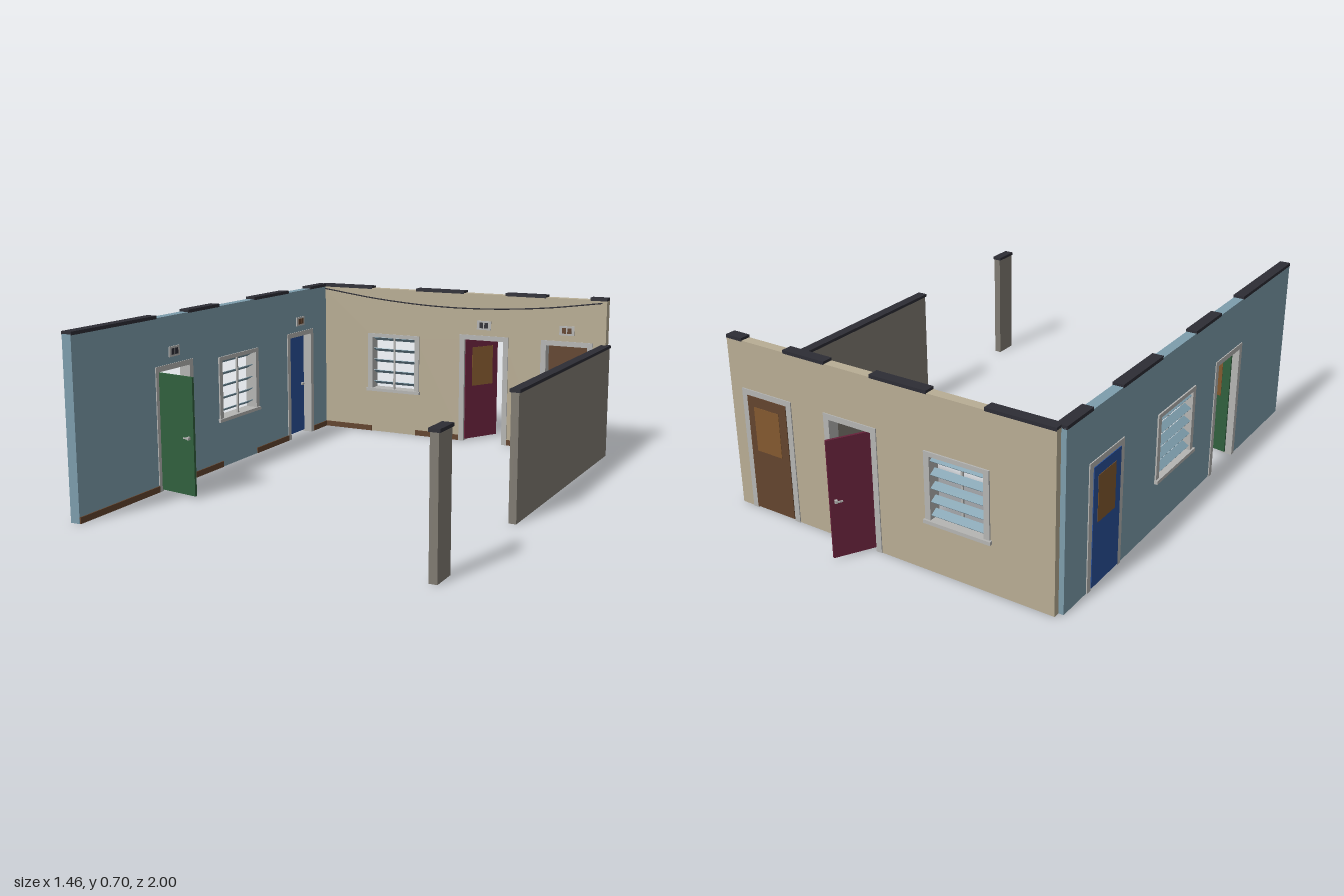
import * as THREE from 'three';

const mat = (name, color) => {
  const m = new THREE.MeshStandardMaterial({ color });
  m.name = name;
  return m;
};
const M = {
  tan: mat('tan plaster', 0xb8ad94),
  blue: mat('pale blue plaster', 0x7d9dac),
  grey: mat('warm grey', 0x807b72),
  dark: mat('charcoal', 0x2d2d35),
  trim: mat('light grey trim', 0xb5b5b3),
  green: mat('green paint', 0x305f3d),
  brown: mat('brown wood', 0x63442e),
  maroon: mat('maroon paint', 0x66213a),
  royal: mat('royal blue paint', 0x29509a),
  amber: mat('amber panel', 0x83592f),
};

// Box given by its min and max corners
function box(parent, name, material, x0, x1, y0, y1, z0, z1) {
  const mesh = new THREE.Mesh(new THREE.BoxGeometry(x1 - x0, y1 - y0, z1 - z0), material);
  mesh.position.set((x0 + x1) / 2, (y0 + y1) / 2, (z0 + z1) / 2);
  mesh.name = name;
  parent.add(mesh);
  return mesh;
}

function group(parent, name) {
  const g = new THREE.Group();
  g.name = name;
  parent.add(g);
  return g;
}

const T = 0.02;        // half wall thickness
const WALL_H = 0.687;
const DOOR_H = 0.48;
const WIN = [0.21, 0.46];

// Wall panel in its own frame: x along the wall, +z inside
function wallBody(parent, x0, x1, doors, window, material) {
  const s = new THREE.Shape();
  s.moveTo(x0, 0);
  for (const d of doors) {
    s.lineTo(d.a, 0);
    s.lineTo(d.a, DOOR_H);
    s.lineTo(d.b, DOOR_H);
    s.lineTo(d.b, 0);
  }
  s.lineTo(x1, 0);
  s.lineTo(x1, WALL_H);
  s.lineTo(x0, WALL_H);
  s.closePath();
  const h = new THREE.Path();
  h.moveTo(window.a, WIN[0]);
  h.lineTo(window.a, WIN[1]);
  h.lineTo(window.b, WIN[1]);
  h.lineTo(window.b, WIN[0]);
  h.closePath();
  s.holes.push(h);
  const geo = new THREE.ExtrudeGeometry(s, { depth: 2 * T, bevelEnabled: false });
  geo.translate(0, 0, -T);
  const mesh = new THREE.Mesh(geo, material);
  mesh.name = 'wallPanel';
  parent.add(mesh);
}

// Door casing, hinged leaf, lever handle and the small plate above
function addDoor(wall, d) {
  const g = group(wall, d.name);
  const D = T + 0.004;
  box(g, 'casingLeft', M.trim, d.a - 0.018, d.a + 0.006, 0, 0.498, -D, D);
  box(g, 'casingRight', M.trim, d.b - 0.006, d.b + 0.018, 0, 0.498, -D, D);
  box(g, 'casingTop', M.trim, d.a + 0.006, d.b - 0.006, DOOR_H - 0.004, 0.498, -D, D);

  const leaf = group(g, 'doorLeaf');
  leaf.position.set(d.a + 0.007, 0, d.hingeZ);
  leaf.rotation.y = THREE.MathUtils.degToRad(d.angle);
  const L = d.b - d.a - 0.014;
  box(leaf, 'leaf', d.material, 0, L, 0.008, 0.475, -0.005, 0.005);
  const p = d.panelSide;
  const panel = box(leaf, 'upperPanel', M.amber, 0.036, L - 0.03, 0.255, 0.435, -0.001, 0.001);
  panel.position.z = p * 0.0055;
  const h = group(leaf, 'handle');
  const rose = box(h, 'rose', M.trim, L - 0.026, L - 0.016, 0.23, 0.242, -0.006, 0.006);
  rose.position.z = -p * 0.01;
  const lever = box(h, 'lever', M.trim, L - 0.044, L - 0.016, 0.233, 0.239, -0.002, 0.002);
  lever.position.z = -p * 0.016;

  const c = (d.a + d.b) / 2;
  box(g, 'signPlate', M.trim, c - 0.034, c + 0.034, 0.525, 0.566, T, T + 0.005);
  for (const s of [-1, 1]) {
    const x = c + s * 0.012;
    box(g, 'signSquare', d.sign, x - 0.009, x + 0.009, 0.533, 0.558, T + 0.004, T + 0.007);
  }
}

// Window casing, sill, mullion and slats sloping down to the outside
function addWindow(wall, { a, b }) {
  const g = group(wall, 'window');
  const D = T + 0.006;
  box(g, 'casingLeft', M.trim, a - 0.018, a + 0.005, 0.205, 0.474, -D, D);
  box(g, 'casingRight', M.trim, b - 0.005, b + 0.018, 0.205, 0.474, -D, D);
  box(g, 'casingTop', M.trim, a + 0.005, b - 0.005, WIN[1] - 0.003, 0.474, -D, D);
  box(g, 'sill', M.trim, a - 0.025, b + 0.022, 0.197, 0.211, -0.034, 0.032);
  const c = (a + b) / 2;
  box(g, 'mullion', M.trim, c - 0.004, c + 0.004, WIN[0], WIN[1], 0.008, 0.016);
  for (let i = 0; i < 5; i++) {
    const y = 0.236 + i * 0.0525;
    const slat = box(g, 'slat', M.blue, a + 0.005, b - 0.005, y - 0.0015, y + 0.0015, -0.016, 0.016);
    slat.rotation.x = -Math.PI / 6;
    slat.position.z = -0.006;
  }
}

// Complete wall with openings, caps and skirting on its solid stretches
function addWall(root, name, x0, x1, doors, window, material) {
  const wall = group(root, name);
  wallBody(wall, x0, x1, doors, window, material);
  doors.forEach((d) => addDoor(wall, d));
  addWindow(wall, window);
  const gaps = [...doors, window].sort((p, q) => p.a - q.a);
  let start = x0;
  for (const o of [...gaps, { a: x1, b: x1 }]) {
    box(wall, 'wallCap', M.dark, start, o.a, WALL_H - 0.003, 0.697, -T - 0.002, T + 0.002);
    const s0 = start === x0 ? x0 : start + (start === window.b ? 0 : 0.018);
    const s1 = o.a === x1 ? x1 - 0.002 : o.a - (o === window ? 0 : 0.018);
    box(wall, 'skirting', M.brown, s0 + 0.001, s1, 0.0005, 0.025, T - 0.002, T + 0.005);
    start = o.b;
  }
  return wall;
}

export function createModel() {
  const root = new THREE.Group();
  root.name = 'roomShell';

  // Back wall
  const back = addWall(root, 'backWall', -0.70, 0.705, [
    { name: 'maroonDoor', a: 0.04, b: 0.24, material: M.maroon, angle: 60, hingeZ: 0.012, panelSide: 1, sign: M.dark },
    { name: 'brownDoor', a: 0.43, b: 0.63, material: M.brown, angle: 0, hingeZ: -0.021, panelSide: -1, sign: M.brown },
  ], { a: -0.43, b: -0.20 }, M.tan);
  back.position.z = -0.85;

  // Side wall, running front to back
  const side = addWall(root, 'sideWall', -1, 0.845, [
    { name: 'greenDoor', a: -0.51, b: -0.30, material: M.green, angle: -99, hingeZ: 0.005, panelSide: -1, sign: M.dark },
    { name: 'blueDoor', a: 0.48, b: 0.68, material: M.royal, angle: 0, hingeZ: -0.021, panelSide: -1, sign: M.brown },
  ], { a: -0.08, b: 0.19 }, M.blue);
  side.rotation.y = Math.PI / 2;
  side.position.x = -0.70;

  // Low wall in two pieces with coping
  for (const [z0, z1] of [[-0.845, 0.30], [0.893, 1.0]]) {
    const low = group(root, 'lowWall');
    box(low, 'lowWallBody', M.grey, 0.69, 0.72, 0, 0.483, z0 + 0.003, z1 - 0.002);
    box(low, 'lowWallCoping', M.dark, 0.684, 0.725, 0.481, 0.493, z0, z1);
  }

  // Sagging cable along the back wall
  const pts = [[-0.68, 0.675], [-0.4, 0.64], [-0.12, 0.621], [0.14, 0.621], [0.42, 0.64], [0.685, 0.675]]
    .map(([x, y]) => new THREE.Vector3(x, y, -0.826));
  const cable = new THREE.Mesh(
    new THREE.TubeGeometry(new THREE.CatmullRomCurve3(pts), 30, 0.003, 6), M.dark);
  cable.name = 'cable';
  root.add(cable);

  return root;
}
